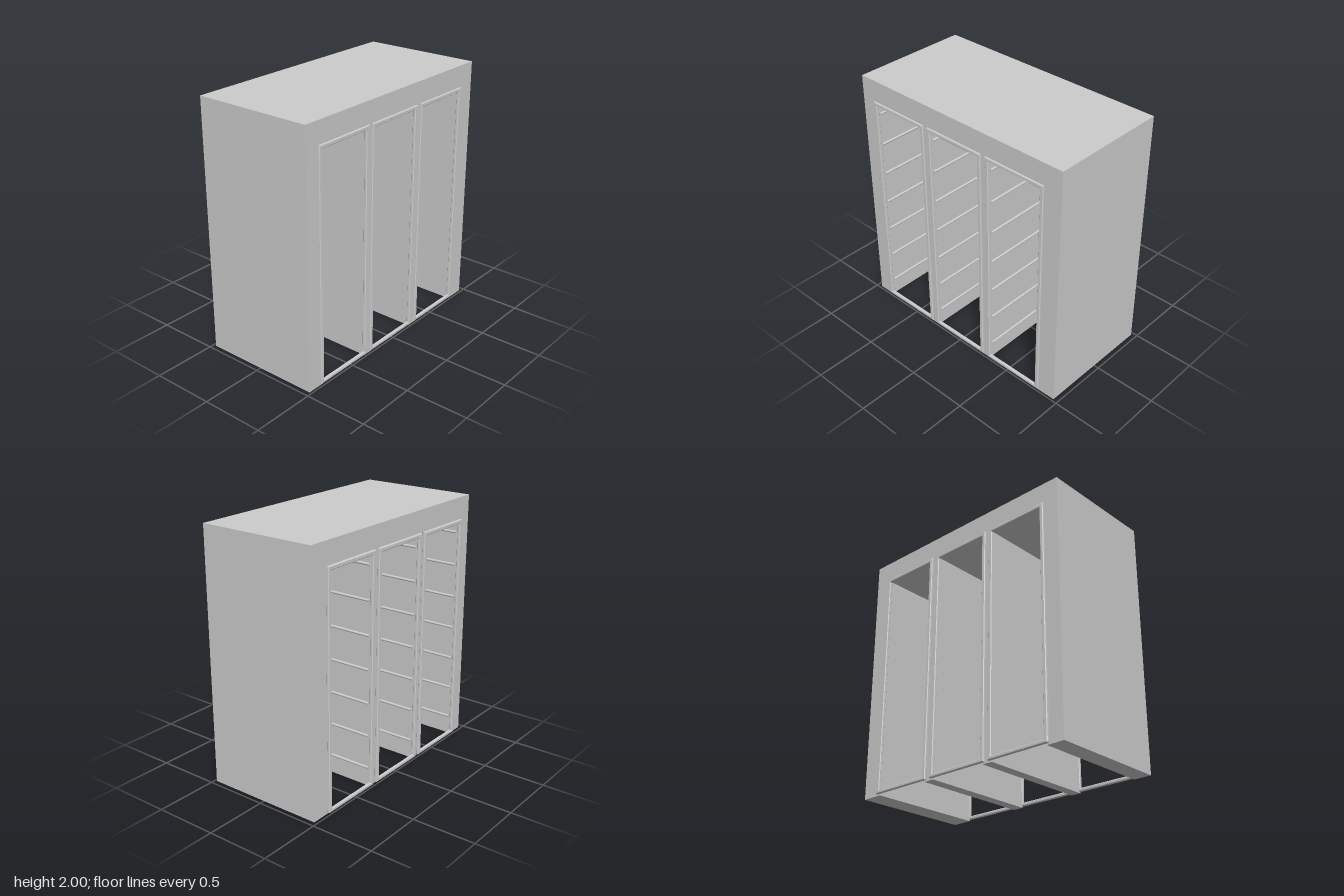
import * as THREE from 'three';

const material = new THREE.MeshStandardMaterial({ color: 0xcccccc });

// Outer frame edges of the three bays, as [z low, z high]
const BAYS = [[0.316, 0.841], [-0.247, 0.279], [-0.812, -0.289]];
const BODY_X = [-0.475, 0.482];
const WALL_INSET = 0.022;

// Extrudes a (z, y) outline along x, starting at x0
function extrudeAlongX(shape, x0, depth, bevel = 0) {
  const geometry = new THREE.ExtrudeGeometry(shape, {
    depth: depth - 2 * bevel,
    bevelEnabled: bevel > 0,
    bevelThickness: bevel,
    bevelSize: bevel,
    bevelOffset: -bevel,
    bevelSegments: 1,
  });
  geometry.rotateY(Math.PI / 2);
  geometry.translate(x0 + bevel, 0, 0);
  return geometry;
}

// Rectangle in the extrusion plane, where u = -z
function rectangle(z0, z1, y0, y1, Type = THREE.Shape) {
  return new Type([[-z1, y0], [-z0, y0], [-z0, y1], [-z1, y1]]
    .map(([u, y]) => new THREE.Vector2(u, y)));
}

function add(parent, name, geometry) {
  const mesh = new THREE.Mesh(geometry, material);
  mesh.name = name;
  parent.add(mesh);
  return mesh;
}

// Solid block with three bays cut through it, open at the floor
function bodyShape() {
  const shape = new THREE.Shape();
  shape.moveTo(-0.96, 0);
  for (const [z0, z1] of BAYS) {
    const a = -z1 + WALL_INSET, b = -z0 - WALL_INSET;
    shape.lineTo(a, 0);
    shape.lineTo(a, 1.81);
    shape.lineTo(b, 1.81);
    shape.lineTo(b, 0);
  }
  shape.lineTo(0.96, 0);
  shape.lineTo(0.96, 2);
  shape.lineTo(-0.96, 2);
  shape.closePath();
  return shape;
}

// Door frame ring with its bottom sill
function frameShape(z0, z1, inset, width) {
  const shape = rectangle(z0 + inset, z1 - inset, 0.01 + inset, 1.83 - inset);
  const i = inset + width;
  shape.holes.push(rectangle(z0 + i, z1 - i, 0.01 + Math.min(i, 0.026), 1.83 - i, THREE.Path));
  return shape;
}

export function createModel() {
  const group = new THREE.Group();
  add(group, 'cabinetBody', extrudeAlongX(bodyShape(), BODY_X[0], BODY_X[1] - BODY_X[0]));

  BAYS.forEach(([z0, z1], bay) => {
    // Bevelled frame on each open side
    for (const [side, x0] of [['left', 0.469], ['right', -0.498]]) {
      add(group, `${side}Frame${bay + 1}`,
        extrudeAlongX(frameShape(z0, z1, 0, 0.031), x0, 0.025, 0.005));
    }

    // Seven rails running along the front-side wall of the bay
    const rails = new THREE.Group();
    rails.name = `rails${bay + 1}`;
    for (let i = 0; i < 7; i++) {
      const rail = add(rails, `rail${i + 1}`, new THREE.CylinderGeometry(0.01, 0.01, 0.94, 12));
      rail.rotation.z = Math.PI / 2;
      rail.position.set(0, 0.16 + i * 0.2617, z1 - 0.037);
    }
    group.add(rails);
  });
  return group;
}
